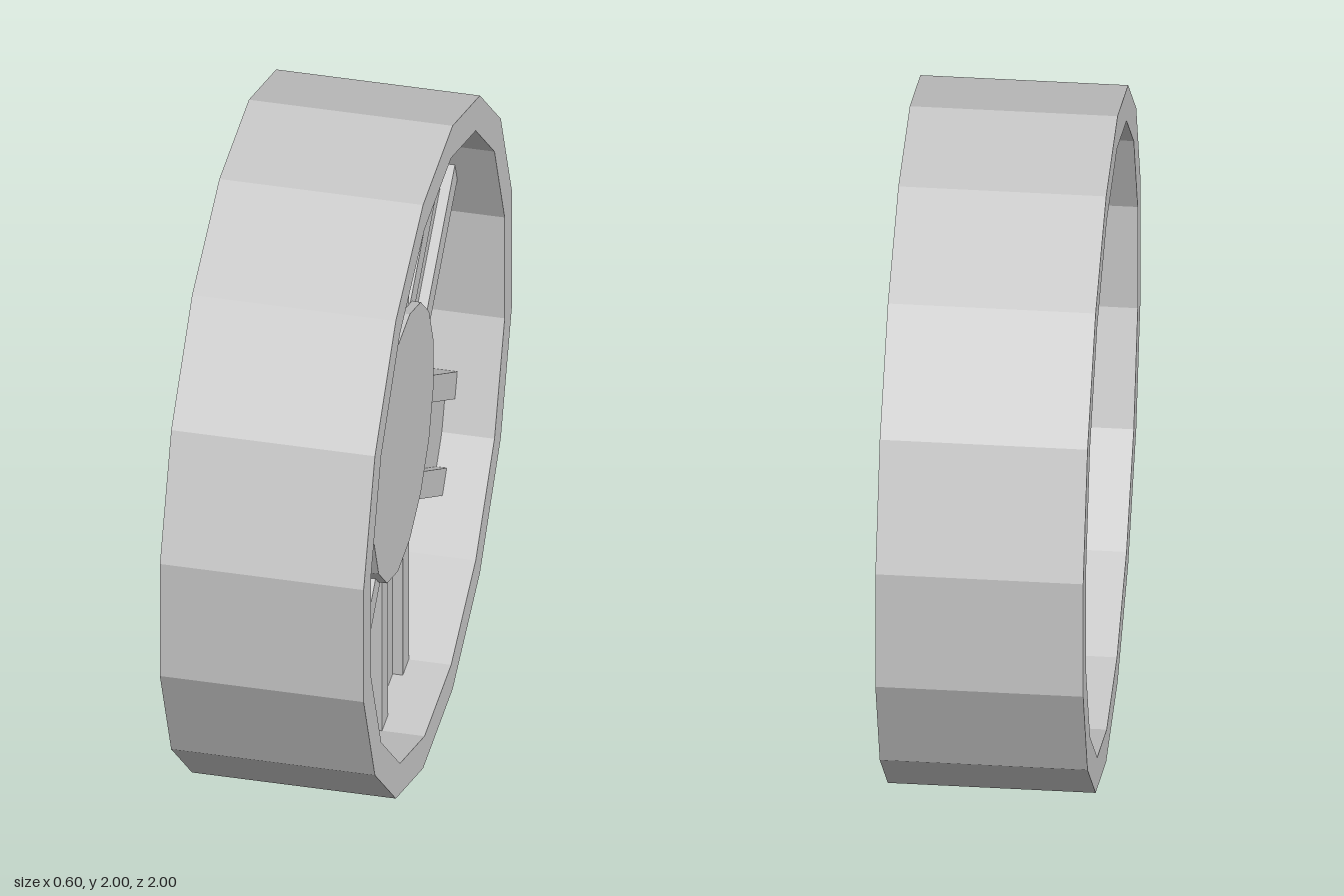
import * as THREE from 'three';

const SIDES = 16;
const material = new THREE.MeshStandardMaterial({ color: 0xcccccc, flatShading: true });

// Regular polygon given by its apothem, with flats at top, bottom and sides
function polygon(apothem, PathType) {
  const r = apothem / Math.cos(Math.PI / SIDES);
  const points = [];
  for (let i = 0; i < SIDES; i++) {
    const a = ((i + 0.5) / SIDES) * Math.PI * 2;
    points.push(new THREE.Vector2(r * Math.cos(a), r * Math.sin(a)));
  }
  return new PathType(points);
}

// Extrudes a wheel section along x, from x0 to x1
function disc(name, shape, x0, x1) {
  const geometry = new THREE.ExtrudeGeometry(shape, { depth: x1 - x0, bevelEnabled: false });
  geometry.translate(0, 0, x0).rotateY(Math.PI / 2);
  const mesh = new THREE.Mesh(geometry, material);
  mesh.name = name;
  return mesh;
}

// Box between two corners
function bar(name, min, max) {
  const size = max.map((v, i) => v - min[i]);
  const geometry = new THREE.BoxGeometry(...size);
  geometry.translate(...max.map((v, i) => (v + min[i]) / 2));
  const mesh = new THREE.Mesh(geometry, material);
  mesh.name = name;
  return mesh;
}

// Spoke pointing up: a thin web between two rails
function createSpoke(end) {
  const spoke = new THREE.Group();
  spoke.name = 'spoke';
  spoke.add(
    bar('spokeWeb', [0.115, 0.3, -0.11], [0.145, end, 0.11]),
    bar('spokeRail', [0.085, 0.3, 0.1], [0.175, end, 0.18]),
    bar('spokeRail', [0.085, 0.3, -0.18], [0.175, end, -0.1])
  );
  return spoke;
}

export function createModel() {
  const wheel = new THREE.Group();
  wheel.name = 'wheel';

  // Rim
  const rimShape = polygon(1, THREE.Shape);
  rimShape.holes.push(polygon(0.9, THREE.Path));
  wheel.add(disc('rim', rimShape, -0.3, 0.3));

  // Hub, offset towards the outer face
  wheel.add(disc('hub', polygon(0.4, THREE.Shape), 0.05, 0.2));

  // Six spokes: upright ones meet a flat, slanted ones meet a rim corner
  for (const degrees of [0, 56.25, 123.75, 180, 236.25, 303.75]) {
    const spoke = createSpoke(degrees % 180 === 0 ? 0.9 : 0.915);
    spoke.rotation.x = THREE.MathUtils.degToRad(degrees);
    wheel.add(spoke);
  }

  wheel.position.y = 1;
  const model = new THREE.Group();
  model.name = 'model';
  model.add(wheel);
  return model;
}
